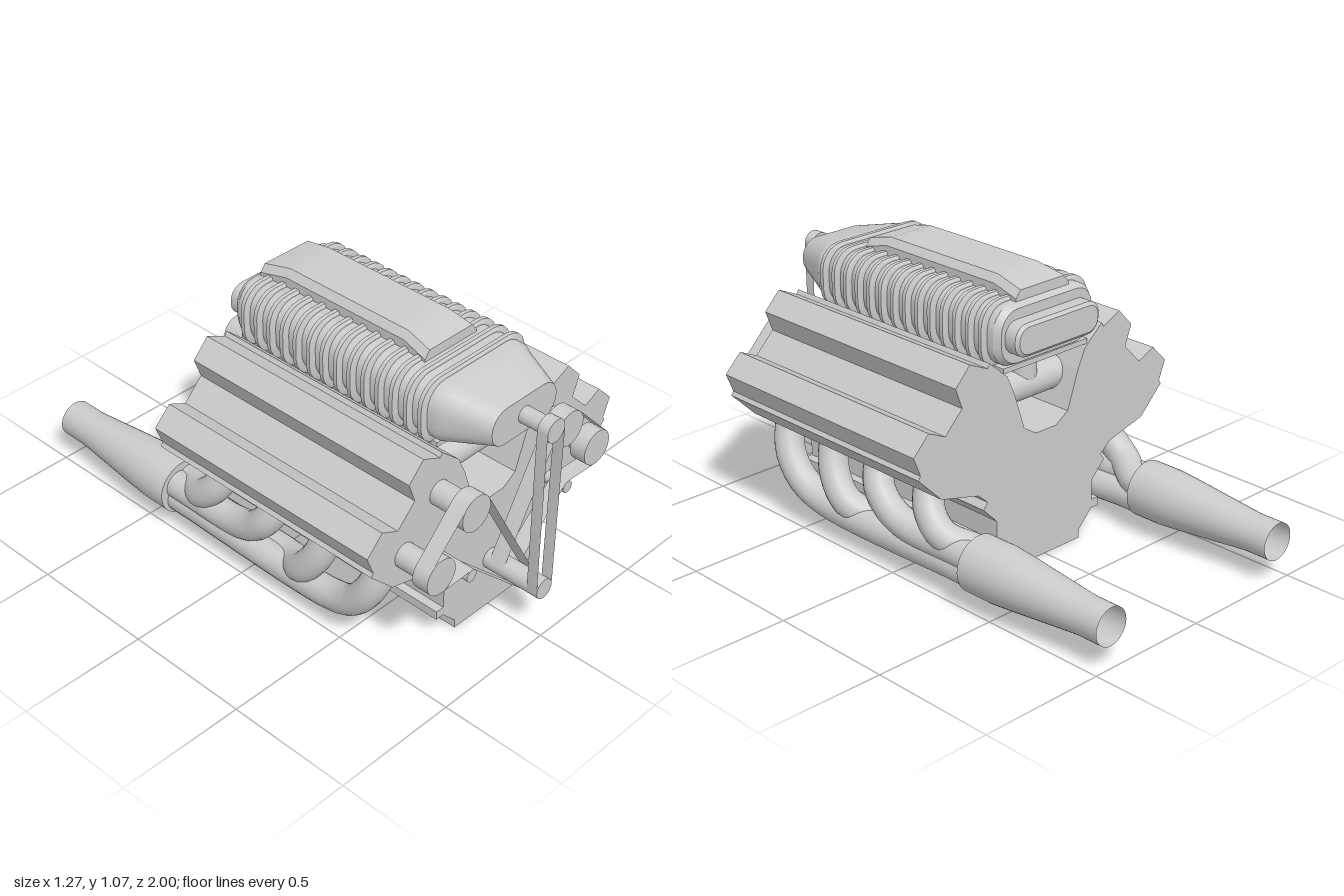
import * as THREE from 'three';
import { toCreasedNormals } from 'three/addons/utils/BufferGeometryUtils.js';

const V = (x, y, z) => new THREE.Vector3(x, y, z);
const grey = new THREE.MeshStandardMaterial({ color: 0xcccccc });
const greyDouble = new THREE.MeshStandardMaterial({ color: 0xcccccc, side: THREE.DoubleSide });

function add(parent, name, geometry, material = grey) {
  const mesh = new THREE.Mesh(geometry, material);
  mesh.name = name;
  parent.add(mesh);
  return mesh;
}

// Cylinder along z between z0 and z1
function rod(parent, name, x, y, z0, z1, r) {
  const g = new THREE.CylinderGeometry(r, r, z1 - z0, 28).rotateX(Math.PI / 2);
  add(parent, name, g.translate(x, y, (z0 + z1) / 2));
}

// Capped skin over rings ordered back to front, each counter-clockwise seen from +z
function loft(rings) {
  const n = rings[0].length, last = rings.length - 1, pos = [], idx = [];
  rings.forEach(r => r.forEach(p => pos.push(p.x, p.y, p.z)));
  for (let i = 0; i < last; i++) for (let j = 0; j < n; j++) {
    const a = i * n + j, b = i * n + (j + 1) % n;
    idx.push(a, b, b + n, a, b + n, a + n);
  }
  for (let j = 1; j < n - 1; j++) {
    idx.push(0, j + 1, j);
    idx.push(last * n, last * n + j, last * n + j + 1);
  }
  const g = new THREE.BufferGeometry();
  g.setAttribute('position', new THREE.Float32BufferAttribute(pos, 3));
  g.setIndex(idx);
  return toCreasedNormals(g, 0.5);
}

// Rounded rectangle ring around the blower axis
function ring(z, hx, hy, r, cy = 0.893) {
  const pts = [], seg = 5;
  for (let q = 0; q < 4; q++) for (let k = 0; k <= seg; k++) {
    const a = (q + k / seg) * Math.PI / 2;
    const sx = q === 0 || q === 3 ? 1 : -1, sy = q < 2 ? 1 : -1;
    pts.push(V(sx * (hx - r) + r * Math.cos(a), cy + sy * (hy - r) + r * Math.sin(a), z));
  }
  return pts;
}

// Thin belt around circles [x, y, r] in counter-clockwise order; negative r bends the belt back
function belt(circles, z0, z1) {
  const n = circles.length, pts = [];
  const out = circles.map(([x, y, r], i) => {
    const [x2, y2, r2] = circles[(i + 1) % n];
    return Math.atan2(y2 - y, x2 - x) - Math.acos((r - r2) / Math.hypot(x2 - x, y2 - y));
  });
  circles.forEach(([x, y, r], i) => {
    const start = out[(i + n - 1) % n], full = 2 * Math.PI;
    let turn = (((out[i] - start) % full) + full) % full;
    if (r < 0) turn -= full;
    for (let k = 0; k <= 12; k++) {
      const a = start + turn * k / 12;
      pts.push([x + r * Math.cos(a), y + r * Math.sin(a)]);
    }
  });
  const pos = [], idx = [], m = pts.length;
  pts.forEach(([x, y]) => pos.push(x, y, z0, x, y, z1));
  for (let i = 0; i < m; i++) {
    const a = 2 * i, b = 2 * ((i + 1) % m);
    idx.push(a, b, b + 1, a, b + 1, a + 1);
  }
  const g = new THREE.BufferGeometry();
  g.setAttribute('position', new THREE.Float32BufferAttribute(pos, 3));
  g.setIndex(idx);
  return toCreasedNormals(g, 0.6);
}

function tube(points, r) {
  return new THREE.TubeGeometry(new THREE.CatmullRomCurve3(points), 36, r, 18);
}

export function createModel() {
  const engine = new THREE.Group();
  engine.name = 'engine';

  // Block with both cylinder heads, one mirrored profile
  const half = [
    [0.18, 0], [0.18, 0.035], [0.245, 0.1], [0.28, 0.1], [0.28, 0.135], [0.245, 0.135],
    [0.245, 0.215], [0.31, 0.28], [0.29, 0.305], [0.335, 0.345], [0.51, 0.39], [0.615, 0.495],
    [0.605, 0.51], [0.635, 0.585], [0.565, 0.655], [0.49, 0.62], [0.41, 0.7], [0.44, 0.78],
    [0.373, 0.85], [0.29, 0.812], [0.28, 0.828], [0.195, 0.755], [0.16, 0.68], [0.11, 0.535], [0.05, 0.497]
  ];
  const outline = [...half, ...half.map(([x, y]) => [-x, y]).reverse()];
  const shape = new THREE.Shape(outline.map(([x, y]) => new THREE.Vector2(x, y)));
  add(engine, 'block', new THREE.ExtrudeGeometry(shape, { depth: 1.03, bevelEnabled: false }).translate(0, 0, -0.275));

  // Blower on top: body with tapered nose, rear cover, ribs and lid
  const blower = new THREE.Group();
  blower.name = 'blower';
  engine.add(blower);
  add(blower, 'blowerBody', loft([
    ring(-0.275, 0.225, 0.1, 0.08), ring(-0.25, 0.24, 0.113, 0.085),
    ring(0.68, 0.24, 0.113, 0.085), ring(0.71, 0.225, 0.108, 0.085), ring(0.865, 0.165, 0.073, 0.07)
  ]));
  add(blower, 'rearCover', loft([
    ring(-0.335, 0.195, 0.05, 0.045), ring(-0.325, 0.208, 0.062, 0.055), ring(-0.27, 0.208, 0.062, 0.055)
  ]));
  for (let i = 0; i < 14; i++) {
    const z = -0.207 + i * 0.0647;
    add(blower, 'rib', loft([
      ring(z - 0.014, 0.25, 0.118, 0.085), ring(z - 0.008, 0.263, 0.127, 0.09),
      ring(z + 0.008, 0.263, 0.127, 0.09), ring(z + 0.014, 0.25, 0.118, 0.085)
    ]));
  }
  const lid = [[-0.25, 0.13, 1.045], [-0.13, 0.12, 1.07], [-0.08, 0.12, 1.07],
    [0.36, 0.12, 1.07], [0.43, 0.12, 1.07], [0.535, 0.13, 1.045]];
  add(blower, 'lid', loft(lid.map(([z, w, top]) => [
    V(w, 0.99, z), V(w, top - 0.028, z), V(w - 0.022, top, z),
    V(-w + 0.022, top, z), V(-w, top - 0.028, z), V(-w, 0.99, z)
  ])));
  add(blower, 'mountingPlate', new THREE.BoxGeometry(0.42, 0.02, 0.94).translate(0, 0.776, 0.2));
  rod(blower, 'snout', 0, 0.893, 0.85, 0.96, 0.032);
  rod(blower, 'blowerPulley', 0, 0.893, 0.955, 1, 0.045);

  // Intake runners in the valley
  for (const z of [0.6, 0.35, 0.1, -0.15]) {
    add(engine, 'intakeDownpipe', new THREE.CylinderGeometry(0.055, 0.055, 0.15, 20).translate(0, 0.705, z));
    add(engine, 'intakeCrosspipe',
      new THREE.CylinderGeometry(0.06, 0.06, 0.42, 20).rotateZ(Math.PI / 2).translate(0, 0.64, z));
  }

  // Crank pulley and main drive belt
  rod(engine, 'crankPulley', 0, 0.215, 0.74, 1, 0.04);
  add(engine, 'driveBelt', belt([[0, 0.215, 0.04], [0, 0.893, 0.045]], 0.955, 1), greyDouble);

  for (const side of [1, -1]) {
    const bank = new THREE.Group();
    bank.name = side > 0 ? 'leftBank' : 'rightBank';
    bank.scale.x = side;
    engine.add(bank);

    // Accessory pulleys and belt, staggered in depth between the banks
    const z0 = side > 0 ? 0.78 : 0.855, z1 = z0 + 0.065;
    for (const [x, y] of [[0.29, 0.67], [0.455, 0.5]]) {
      rod(bank, 'pulleyShaft', x, y, 0.74, z0 + 0.01, 0.047);
      rod(bank, 'pulley', x, y, z0, z1, 0.07);
    }
    rod(bank, 'idler', 0.3, 0.41, 0.74, z1, 0.024);
    add(bank, 'accessoryBelt', belt([
      [0, 0.215, 0.04], [0.3, 0.41, -0.024], [0.455, 0.5, 0.07], [0.29, 0.67, 0.07]
    ], z0, z1), greyDouble);

    // Exhaust header: [port z, merged x, merged y]
    const runners = [[0.64, 0.455, 0.125], [0.385, 0.405, 0.12], [0.135, 0.455, 0.18], [-0.13, 0.405, 0.185]];
    for (const [z, x, y] of runners) {
      const reach = Math.min(0.26, z + 0.4), drop = 0.36 - y;
      add(bank, 'exhaustRunner', tube([
        V(0.41, 0.42, z), V(0.435, 0.36, z), V(0.462, 0.36 - drop * 0.4, z - reach * 0.12),
        V(0.465, 0.36 - drop * 0.78, z - reach * 0.4), V(x, y, z - reach * 0.85),
        V(x, y, Math.min(z - reach * 1.2, -0.3)), V(x, y, -0.44)
      ], 0.057), greyDouble);
    }

    // Collector: closed in front, open at the tail
    const profile = [[0, 0.38], [0.108, 0.38], [0.108, 0.5], [0.1, 0.6], [0.075, 0.86], [0.072, 0.9], [0.072, 1]];
    const collector = new THREE.LatheGeometry(profile.map(([r, z]) => new THREE.Vector2(r, z)), 32);
    collector.rotateX(-Math.PI / 2).translate(0.432, 0.158, 0);
    add(bank, 'collector', toCreasedNormals(collector, 0.5), greyDouble);
  }
  return engine;
}
